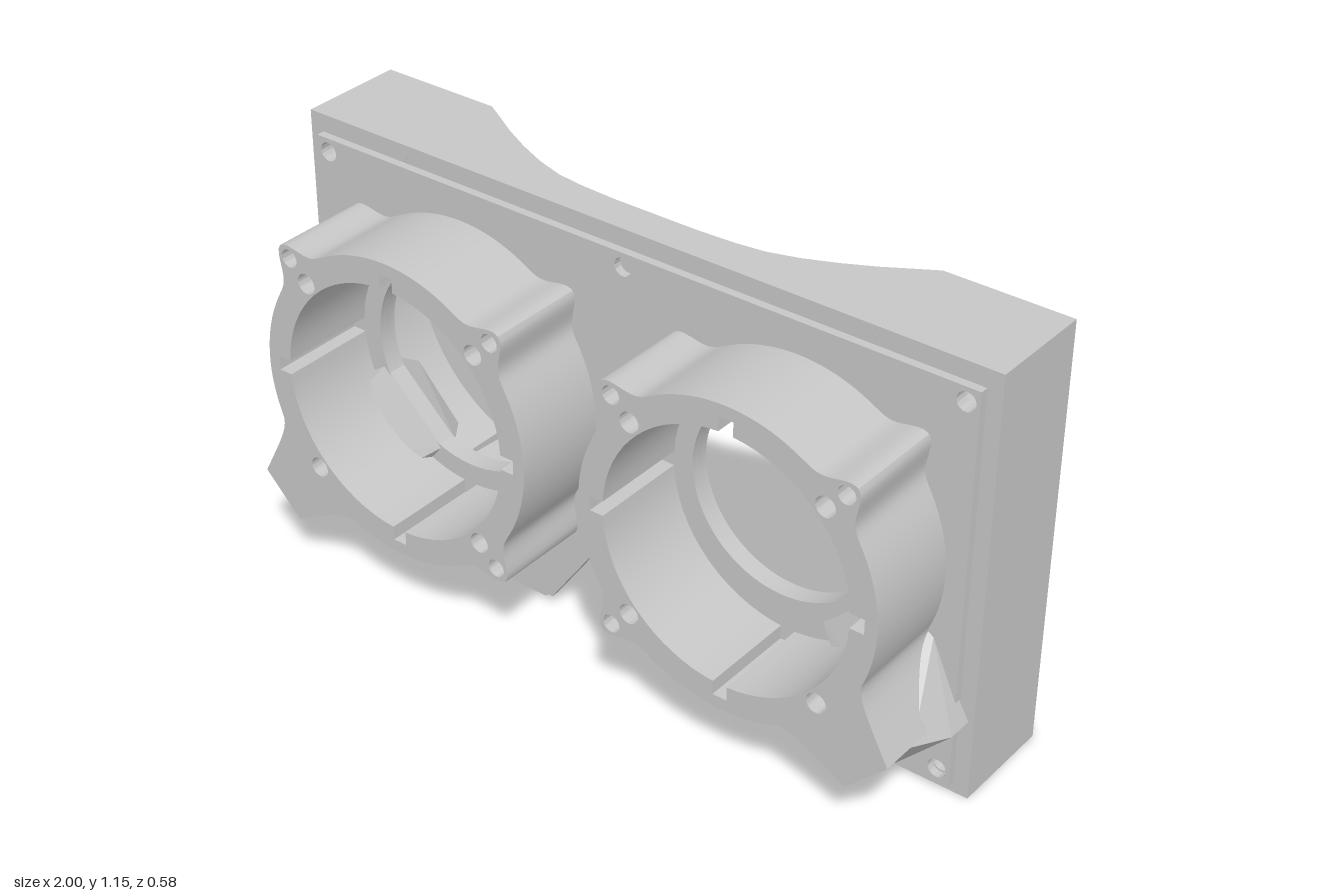
import * as THREE from 'three';
import { toCreasedNormals } from 'three/addons/utils/BufferGeometryUtils.js';
import { ConvexGeometry } from 'three/addons/geometries/ConvexGeometry.js';

const TOP = 1.155, EYE_X = 0.495, EYE_Y = 0.61;
const V = (x, y) => new THREE.Vector2(x, y);
const rad = THREE.MathUtils.degToRad;

function circle(x, y, r) {
  const p = new THREE.Path();
  p.absarc(x, y, r, 0, Math.PI * 2, true);
  return p;
}

// Shape from points, always wound counter-clockwise so holes face properly
function polygon(pts) {
  return new THREE.Shape(THREE.ShapeUtils.isClockWise(pts) ? pts.reverse() : pts);
}

// Extrude a shape from z0 to z1, smooth on curves and sharp on edges
function slab(shape, z0, z1) {
  const g = new THREE.ExtrudeGeometry(shape, { depth: z1 - z0, bevelEnabled: false, curveSegments: 32 });
  g.translate(0, 0, z0);
  return toCreasedNormals(g, 0.5);
}

function hull(points, s) {
  return new ConvexGeometry(points.map(([x, y, z]) => new THREE.Vector3(s * x, y, z)));
}

// Join four-cornered cross-sections, given in order of increasing x
function loft(sections) {
  const pos = [], index = [], n = sections.length;
  sections.forEach(s => s.forEach(p => pos.push(...p)));
  for (let i = 0; i < n - 1; i++) {
    for (let j = 0; j < 4; j++) {
      const a = i * 4 + j, b = i * 4 + (j + 1) % 4;
      index.push(a, b, b + 4, a, b + 4, a + 4);
    }
  }
  const e = (n - 1) * 4;
  index.push(0, 2, 1, 0, 3, 2, e, e + 1, e + 2, e, e + 2, e + 3);
  const g = new THREE.BufferGeometry();
  g.setAttribute('position', new THREE.Float32BufferAttribute(pos, 3));
  g.setIndex(index);
  return toCreasedNormals(g.toNonIndexed(), 0.6);
}

// Outer radius of the lens ring: three screw lugs and one flared corner
function ringRadius(deg) {
  const gap = a => Math.abs(((deg - a + 540) % 360) - 180);
  const d = gap(315);
  if (d < 7.5) return 0.58 * Math.cos(rad(7.5)) / Math.cos(rad(d));
  if (d < 23) return 0.413 + 0.167 * ((23 - d) / 15.5) ** 2;
  const lug = Math.min(gap(45), gap(135), gap(225));
  return 0.413 + 0.075 * Math.exp(-((lug / 6.3) ** 2));
}

function ringShape(s) {
  const cx = s * EYE_X;
  const at = (r, a) => V(cx + s * r * Math.cos(a), EYE_Y + r * Math.sin(a));
  const outer = [];
  for (let d = 0; d < 360; d += 1.5) outer.push(at(ringRadius(d), rad(d)));
  const shape = polygon(outer);
  // bore with four key slots
  const bore = [], w = 0.058;
  for (let q = 0; q < 4; q++) {
    const a0 = q * Math.PI / 2;
    bore.push(at(0.38, a0 - w * 0.9), at(0.38, a0 + w * 0.9));
    for (let k = 0; k <= 16; k++) bore.push(at(0.342, a0 + w + (Math.PI / 2 - 2 * w) * k / 16));
  }
  shape.holes.push(new THREE.Path(bore));
  for (const u of [-1, 1]) {
    for (const v of [-1, 1]) {
      shape.holes.push(circle(cx + s * u * 0.265, EYE_Y + v * 0.265, 0.027));
      if (u < 0 || v > 0) shape.holes.push(circle(cx + s * u * 0.317, EYE_Y + v * 0.317, 0.024));
    }
  }
  return shape;
}

export function createModel() {
  const model = new THREE.Group();
  const grey = new THREE.MeshStandardMaterial({ color: 0xc6c6c6 });
  grey.name = 'grey plastic';
  const add = (name, geometry) => {
    const m = new THREE.Mesh(geometry, grey);
    m.name = name;
    model.add(m);
  };
  const aperture = s => (s < 0 ? [-0.497, EYE_Y, 0.286] : [0.47, 0.62, 0.262]);

  // Front plate with nose notch, apertures and screw holes
  const plate = polygon([V(-0.96, 1.107), V(-0.96, 0.03), V(-0.23, 0.03), V(-0.075, 0.25),
    V(-0.04, 0.28), V(0, 0.29), V(0.04, 0.28), V(0.075, 0.25), V(0.23, 0.03), V(0.96, 0.03), V(0.96, 1.107)]);
  plate.holes.push(circle(0, 1.07, 0.024));
  for (const s of [-1, 1]) {
    plate.holes.push(circle(...aperture(s)));
    for (const y of [0.067, 1.07]) plate.holes.push(circle(s * 0.925, y, 0.025));
    for (const [u, v] of [[-1, -1], [-1, 1], [1, 1]]) {
      plate.holes.push(circle(s * (EYE_X + u * 0.265), EYE_Y + v * 0.265, 0.027));
    }
    for (const v of [-1, 1]) plate.holes.push(circle(s * 0.178, EYE_Y + v * 0.317, 0.024));
  }
  add('frontPlate', slab(plate, 0, 0.022));

  // Depth of the face-shaped scoop across the width
  const scoop = [[0, 0.1], [0.12, 0.1], [0.22, 0.105], [0.3, 0.115], [0.38, 0.14],
    [0.46, 0.175], [0.54, 0.217], [0.61, 0.26], [0.66, 0.29]];
  // lower edge of the brow at the back and at the plate
  const browBack = [0.99, 1.01, 1.05, 1.08, 1.1, 1.115, 1.125, 1.14, 1.15];
  const browFront = [0.82, 0.85, 0.92, 0.98, 1.025, 1.045, 1.045, 1.035, 1.018];
  const brow = [];
  for (let i = -8; i <= 8; i++) {
    const k = Math.abs(i), x = Math.sign(i) * scoop[k][0], z = -scoop[k][1];
    brow.push([[x, browFront[k], 0], [x, browBack[k], z], [x, TOP, z], [x, TOP, 0]]);
  }
  add('browBeam', loft(brow));

  for (const s of [-1, 1]) {
    const side = s > 0 ? 'left' : 'right';

    // Side wall, with wide screw wells behind small through holes
    const wall = holeRadius => {
      const pts = [V(s * 0.66, TOP), V(s, TOP), V(s, 0), V(s * 0.66, 0)];
      for (let d = -68; d <= 30; d += 3.5) {
        pts.push(V(s * (EYE_X + 0.44 * Math.cos(rad(d))), EYE_Y + 0.44 * Math.sin(rad(d))));
      }
      const shape = polygon(pts);
      for (const y of [0.072, 1.07]) shape.holes.push(circle(s * 0.925, y, holeRadius));
      return shape;
    };
    add(side + 'SideWall', slab(wall(0.058), -0.29, -0.02));
    add(side + 'SideWallFront', slab(wall(0.025), -0.02, 0));

    // Sloping temple between the brow and the side wall
    add(side + 'Temple', hull([[0.66, TOP, 0], [0.66, TOP, -0.29], [0.66, 1.018, 0],
      [0.88, 0.82, 0], [0.88, 0.82, -0.29], [0.79, 0.935, 0]], s));

    // Cheek beam beside the nose
    const cheek = [[s > 0 ? 0.305 : 0.27, 0.07, 0.17], [0.36, 0.115, 0.18], [0.44, 0.165, 0.17],
      [0.52, 0.21, 0.175], [0.6, 0.255, 0.185], [0.66, 0.29, 0.2]].map(([x, z, y]) =>
      [[s * x, 0, 0], [s * x, 0, -z], [s * x, y - 0.02, -z], [s * x, y, 0]]);
    add(side + 'CheekBeam', loft(s > 0 ? cheek : cheek.reverse()));

    // Lens ring and the raised collar behind it
    add(side + 'LensRing', slab(ringShape(s), 0.022, 0.29));
    const collar = new THREE.Shape();
    collar.absarc(s * EYE_X, EYE_Y, s > 0 ? 0.395 : 0.342, 0, Math.PI * 2, false);
    collar.holes.push(circle(...aperture(s)));
    add(side + 'LensCollar', slab(collar, -0.03, 0.002));

    // Slanted housing running from the flared corner into the eye cavity
    add(side + 'SlantedHousing', hull([[0.985, 0.22, 0], [0.985, 0.22, 0.07], [0.86, 0.1, 0], [0.86, 0.1, 0.1],
      [0.95, 0.245, 0.18], [0.845, 0.13, 0.18], [0.89, 0.43, 0.022], [0.68, 0.22, 0.022],
      [0.775, 0.51, 0.02], [0.59, 0.335, 0.02], [0.775, 0.51, -0.03], [0.59, 0.335, -0.03],
      [0.79, 0.45, -0.12], [0.66, 0.31, -0.12]], s));
  }
  return model;
}
